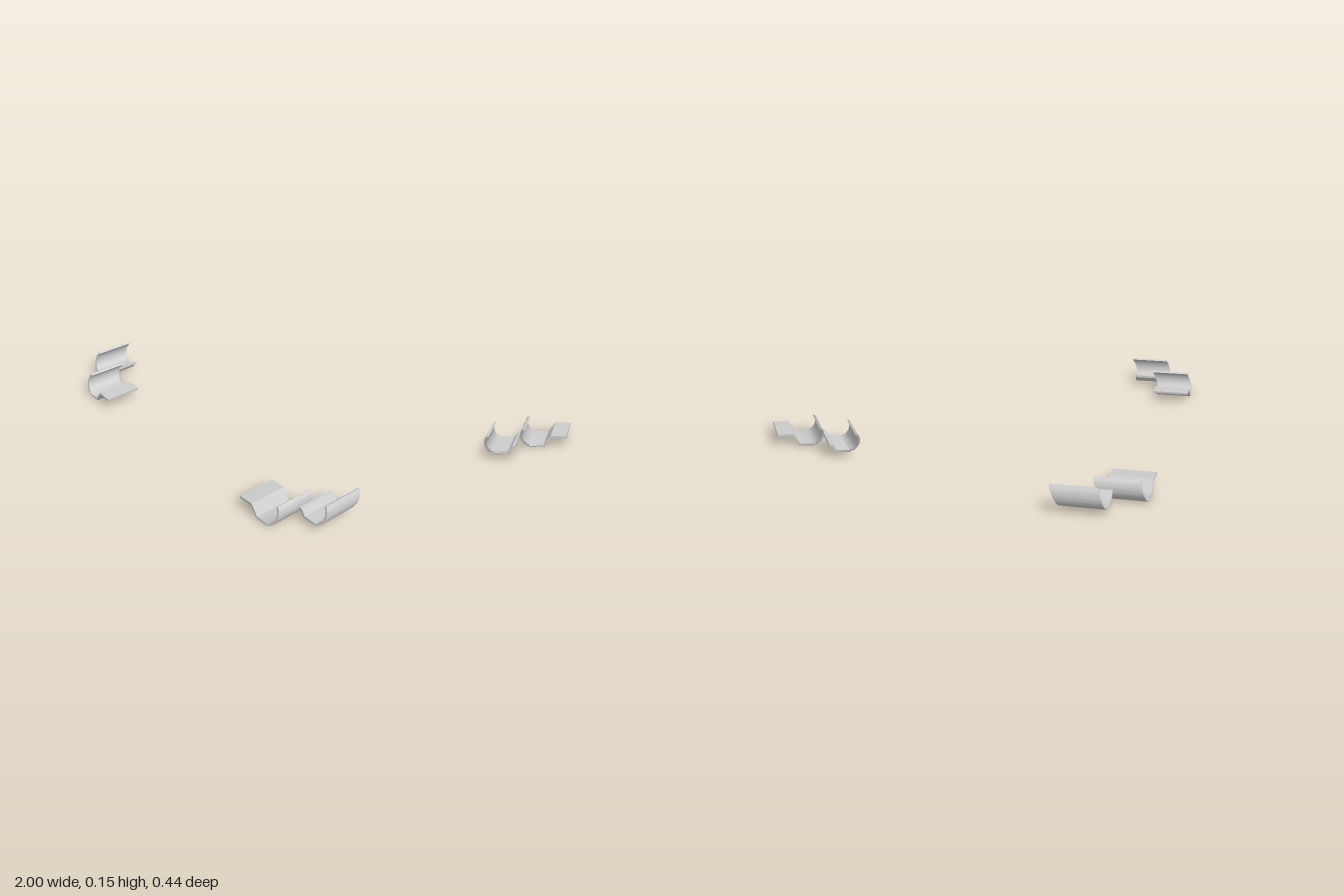
import * as THREE from 'three';
import { toCreasedNormals } from 'three/addons/utils/BufferGeometryUtils.js';

const THICKNESS = 0.012;

// Centre line of a clip: straight bends first, then a smooth hooked arc
function centreLine(bends, arc) {
  const curve = new THREE.CatmullRomCurve3(arc.map(([x, y]) => new THREE.Vector3(x, y, 0)));
  return [...bends.map(([x, y]) => new THREE.Vector2(x, y)),
    ...curve.getPoints(20).map(p => new THREE.Vector2(p.x, p.y))];
}

// Closed outline of constant thickness around a centre line, with mitred bends
function stripShape(line, thickness) {
  const left = [], right = [];
  line.forEach((p, i) => {
    const a = line[Math.max(i - 1, 0)], b = line[Math.min(i + 1, line.length - 1)];
    const d1 = (i ? p.clone().sub(a) : b.clone().sub(p)).normalize();
    const d2 = (i < line.length - 1 ? b.clone().sub(p) : d1.clone()).normalize();
    const n = new THREE.Vector2(-d1.y - d2.y, d1.x + d2.x).normalize();
    const cos = n.x * -d1.y + n.y * d1.x;
    n.multiplyScalar(thickness / 2 / cos);
    left.push(p.clone().add(n));
    right.unshift(p.clone().sub(n));
  });
  return new THREE.Shape([...left, ...right]);
}

// Extruded clip whose hooked arc leans backward as it rises
function makeClip(name, { bends, arc }, side, front, back, material) {
  const line = centreLine(bends, arc).map(p => new THREE.Vector2(p.x * side, p.y));
  const geometry = new THREE.ExtrudeGeometry(stripShape(line, THICKNESS),
    { depth: front - back, bevelEnabled: false, steps: 1 });
  geometry.translate(0, 0, back);
  const [startX, startY] = arc[0];
  const middle = (front + back) / 2;
  const pos = geometry.attributes.position;
  for (let i = 0; i < pos.count; i++) {
    if (pos.getX(i) * side <= startX + 0.001) continue;
    const rise = Math.max(pos.getY(i) - startY + THICKNESS / 2, 0);
    const lean = pos.getZ(i) > middle ? 0.31 : 0.38;
    pos.setZ(i, pos.getZ(i) - rise * lean);
  }
  const mesh = new THREE.Mesh(toCreasedNormals(geometry, 0.5), material);
  mesh.name = name;
  return mesh;
}

export function createModel() {
  const group = new THREE.Group();
  group.name = 'clips';
  const material = new THREE.MeshStandardMaterial({ color: 0xcccccc });

  // Inner clip: wide flange, step down, floor, hook
  const inner = {
    bends: [[0.588, 0.057], [0.67, 0.062], [0.712, 0.007]],
    arc: [[0.785, 0.007], [0.805, 0.018], [0.822, 0.038], [0.832, 0.062],
      [0.832, 0.085], [0.825, 0.104], [0.813, 0.117]],
  };
  // Outer clip: short lip, step down, floor, taller hook
  const outer = {
    bends: [[0.842, 0.068], [0.854, 0.067], [0.88, 0.035]],
    arc: [[0.955, 0.035], [0.975, 0.048], [0.989, 0.07], [0.994, 0.095],
      [0.989, 0.122], [0.975, 0.144]],
  };

  group.add(
    makeClip('leftInnerClip', inner, 1, 0.205, -0.01, material),
    makeClip('leftOuterClip', outer, 1, 0.046, -0.174, material),
    makeClip('rightInnerClip', inner, -1, 0.218, 0.002, material),
    makeClip('rightOuterClip', outer, -1, 0.058, -0.162, material),
  );
  return group;
}
